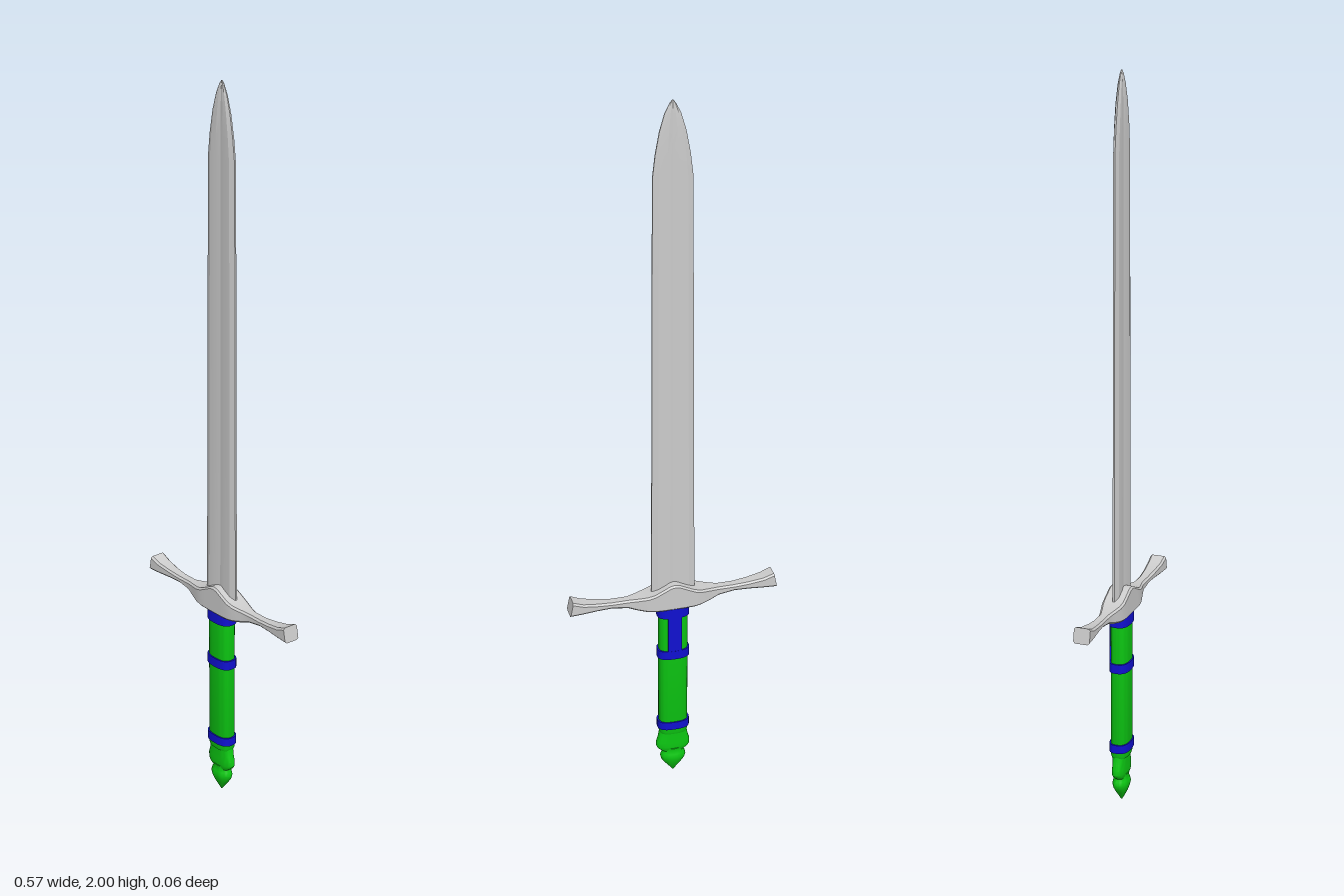
import * as THREE from 'three';
import { toCreasedNormals } from 'three/addons/utils/BufferGeometryUtils.js';

const steel = new THREE.MeshStandardMaterial({ color: 0xcccccc });
const green = new THREE.MeshStandardMaterial({ color: 0x0cc812 });
const blue = new THREE.MeshStandardMaterial({ color: 0x1010d0 });

// Skin a closed, capped solid over rings of [x, y, z] points
// (each ring runs counter-clockwise about the direction of travel).
function loft(rings, crease = 0.5) {
  const n = rings[0].length, pos = rings.flat(2), idx = [];
  rings.slice(1).forEach((_, i) => {
    for (let j = 0; j < n; j++) {
      const a = i * n + j, b = i * n + (j + 1) % n;
      idx.push(a, b, b + n, a, b + n, a + n);
    }
  });
  const last = rings.length - 1;
  [0, last].forEach((r, end) => {
    const c = pos.length / 3;
    for (let k = 0; k < 3; k++) pos.push(rings[r].reduce((s, p) => s + p[k], 0) / n);
    for (let j = 0; j < n; j++) {
      const a = r * n + j, b = r * n + (j + 1) % n;
      idx.push(c, end ? a : b, end ? b : a);
    }
  });
  const g = new THREE.BufferGeometry();
  g.setAttribute('position', new THREE.Float32BufferAttribute(pos, 3));
  g.setIndex(idx);
  return toCreasedNormals(g, crease);
}

// Rounded-oblong horizontal ring
function oval(y, rx, rz, power = 0.75, n = 28) {
  const bend = v => Math.sign(v) * Math.abs(v) ** power;
  return Array.from({ length: n }, (_, i) => {
    const t = (i / n) * Math.PI * 2;
    return [rx * bend(Math.sin(t)), y, rz * bend(Math.cos(t))];
  });
}

// Blade cross-section with a shallow central fuller
function bladeRing([y, w, t]) {
  const e = t * 0.3;
  const front = [[-w, e], [-0.72 * w, t], [-0.32 * w, t], [0, 0.65 * t],
    [0.32 * w, t], [0.72 * w, t], [w, e]];
  return [...front, ...front.map(([x, z]) => [-x, -z])].map(([x, z]) => [x, y, z]);
}

// Chamfered crossguard cross-section
function guardRing([x, y0, y1, h]) {
  const c = 0.005;
  return [[y1, c - h], [y1, h - c], [y1 - c, h], [y0 + c, h],
    [y0, h - c], [y0, c - h], [y0 + c, -h], [y1 - c, -h]].map(([y, z]) => [x, y, z]);
}

export function createModel() {
  const sword = new THREE.Group();
  sword.name = 'sword';
  const add = (name, geometry, material) => {
    const mesh = new THREE.Mesh(geometry, material);
    mesh.name = name;
    sword.add(mesh);
    return mesh;
  };

  // Blade: y, half width, half thickness
  add('blade', loft([
    [0.57, 0.06, 0.009], [1.0, 0.057, 0.0085], [1.4, 0.055, 0.008], [1.8, 0.052, 0.008],
    [1.86, 0.045, 0.0078], [1.92, 0.034, 0.007], [1.965, 0.021, 0.005],
    [1.99, 0.009, 0.003], [2.0, 0.002, 0.001],
  ].map(bladeRing), 0.2), steel);

  // Crossguard: x, bottom, top, half depth; mirrored about the middle
  const half = [
    [0.012, 0.548, 0.623, 0.031], [0.03, 0.548, 0.614, 0.031], [0.055, 0.549, 0.602, 0.031],
    [0.075, 0.551, 0.596, 0.028], [0.1, 0.556, 0.592, 0.021], [0.125, 0.564, 0.589, 0.015],
    [0.17, 0.571, 0.589, 0.015], [0.21, 0.571, 0.593, 0.0175], [0.25, 0.57, 0.6, 0.021],
    [0.278, 0.569, 0.611, 0.0225],
  ];
  const mirrored = half.map(([x, ...rest]) => [-x, ...rest]).reverse();
  const guardRings = [...mirrored, [0, 0.548, 0.625, 0.031], ...half].map(guardRing);
  // Slanted end faces: the lower corners reach further out
  const slant = (ring, s) => ring.map(([, y, z]) => [s * (0.287 - 0.2 * (y - 0.569)), y, z]);
  guardRings[0] = slant(guardRings[0], -1);
  guardRings[guardRings.length - 1] = slant(guardRings[guardRings.length - 1], 1);
  add('crossguard', loft(guardRings, 0.45), steel);

  // Grip
  add('grip', loft([
    oval(0.135, 0.037, 0.022), oval(0.143, 0.04, 0.0245), oval(0.555, 0.04, 0.0245),
  ]), green);

  // Bands round the grip
  [['upperBand', 0.536, 0.032], ['middleBand', 0.401, 0.026], ['lowerBand', 0.166, 0.024]]
    .forEach(([name, y, h]) => add(name, loft([
      oval(y - h / 2, 0.0445, 0.028), oval(y + h / 2, 0.0445, 0.028),
    ]), blue));

  // Strip down the back between the top two bands
  add('backStrip', new THREE.BoxGeometry(0.038, 0.13, 0.01), blue).position.set(0, 0.465, -0.0222);

  // Flared pommel collar
  add('pommelCollar', loft([
    oval(0.07, 0.028, 0.014), oval(0.08, 0.042, 0.017), oval(0.088, 0.047, 0.018),
    oval(0.102, 0.047, 0.018), oval(0.118, 0.042, 0.018), oval(0.14, 0.038, 0.019),
  ]), green);

  // Pointed pommel bulb
  add('pommelBulb', loft([
    oval(0.001, 0.002, 0.002, 1), oval(0.012, 0.01, 0.008, 1), oval(0.028, 0.023, 0.016, 1),
    oval(0.042, 0.033, 0.021, 1), oval(0.053, 0.036, 0.023, 1), oval(0.063, 0.033, 0.021, 1),
    oval(0.072, 0.028, 0.018, 1), oval(0.082, 0.028, 0.02, 1),
  ], 0.7), green);

  return sword;
}
